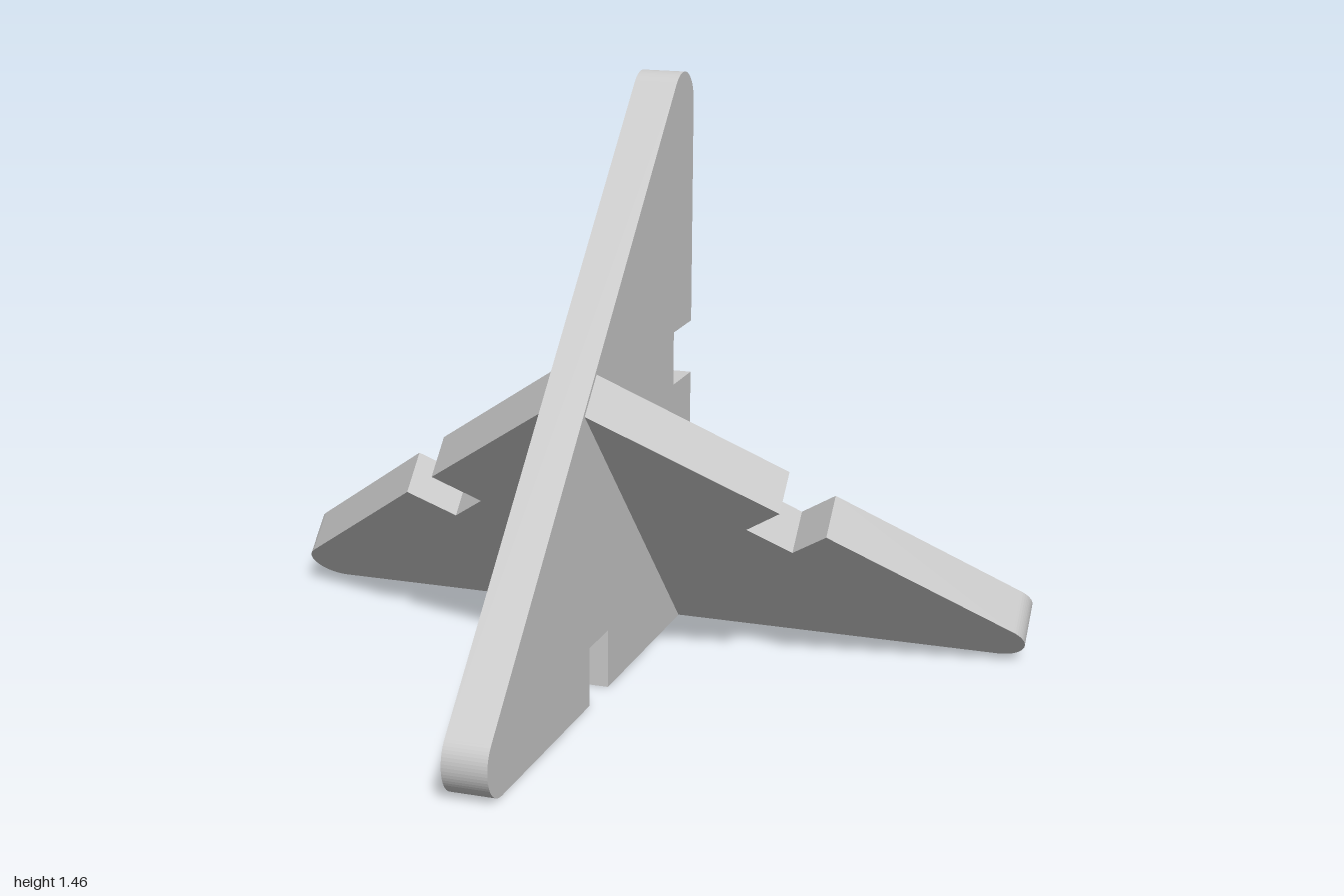
import * as THREE from 'three';

const material = new THREE.MeshStandardMaterial({ color: 0xcccccc, flatShading: true });

function plate(name, shape, depth) {
  const geometry = new THREE.ExtrudeGeometry(shape, { depth, bevelEnabled: false, curveSegments: 12 });
  const mesh = new THREE.Mesh(geometry, material);
  mesh.name = name;
  return mesh;
}

const lines = (shape, points) => points.forEach(([x, y]) => shape.lineTo(x, y));

export function createModel() {
  const group = new THREE.Group();
  group.name = 'slottedPlates';

  // Upright plate, outlined in (z, y): right triangle, rounded tips, a slot in each leg
  const upright = new THREE.Shape();
  upright.moveTo(-0.64, 0);
  lines(upright, [[-0.075, 0], [-0.075, 0.15], [0.061, 0.15], [0.061, 0]]);
  upright.absarc(0.642, 0.085, 0.085, -Math.PI / 2, Math.PI / 4, false);
  upright.absarc(-0.642, 1.378, 0.085, Math.PI / 4, Math.PI, false);
  lines(upright, [[-0.727, 0.795], [-0.58, 0.795], [-0.58, 0.655], [-0.727, 0.655], [-0.727, 0.087]]);
  const uprightPlate = plate('uprightPlate', upright, 0.112);
  uprightPlate.rotation.y = -Math.PI / 2;
  uprightPlate.position.x = 0.056;
  group.add(uprightPlate);

  // Sloping plate: the same triangle resting on its long edge, slots mirrored left and right
  const side = [[0.56, 0.555], [0.455, 0.45], [0.355, 0.55], [0.46, 0.655], [0.055, 1.05]];
  const sloping = new THREE.Shape();
  sloping.moveTo(-0.92, 0);
  sloping.absarc(0.92, 0.08, 0.08, -Math.PI / 2, Math.PI / 4, false);
  lines(sloping, side);
  lines(sloping, side.map(([x, y]) => [-x, y]).reverse());
  sloping.absarc(-0.92, 0.08, 0.08, Math.PI * 0.75, Math.PI * 1.5, false);
  const slopingPlate = plate('slopingPlate', sloping, 0.118);
  slopingPlate.rotation.x = Math.PI / 4;
  slopingPlate.position.set(0, 0.084, -0.728);
  group.add(slopingPlate);

  return group;
}
